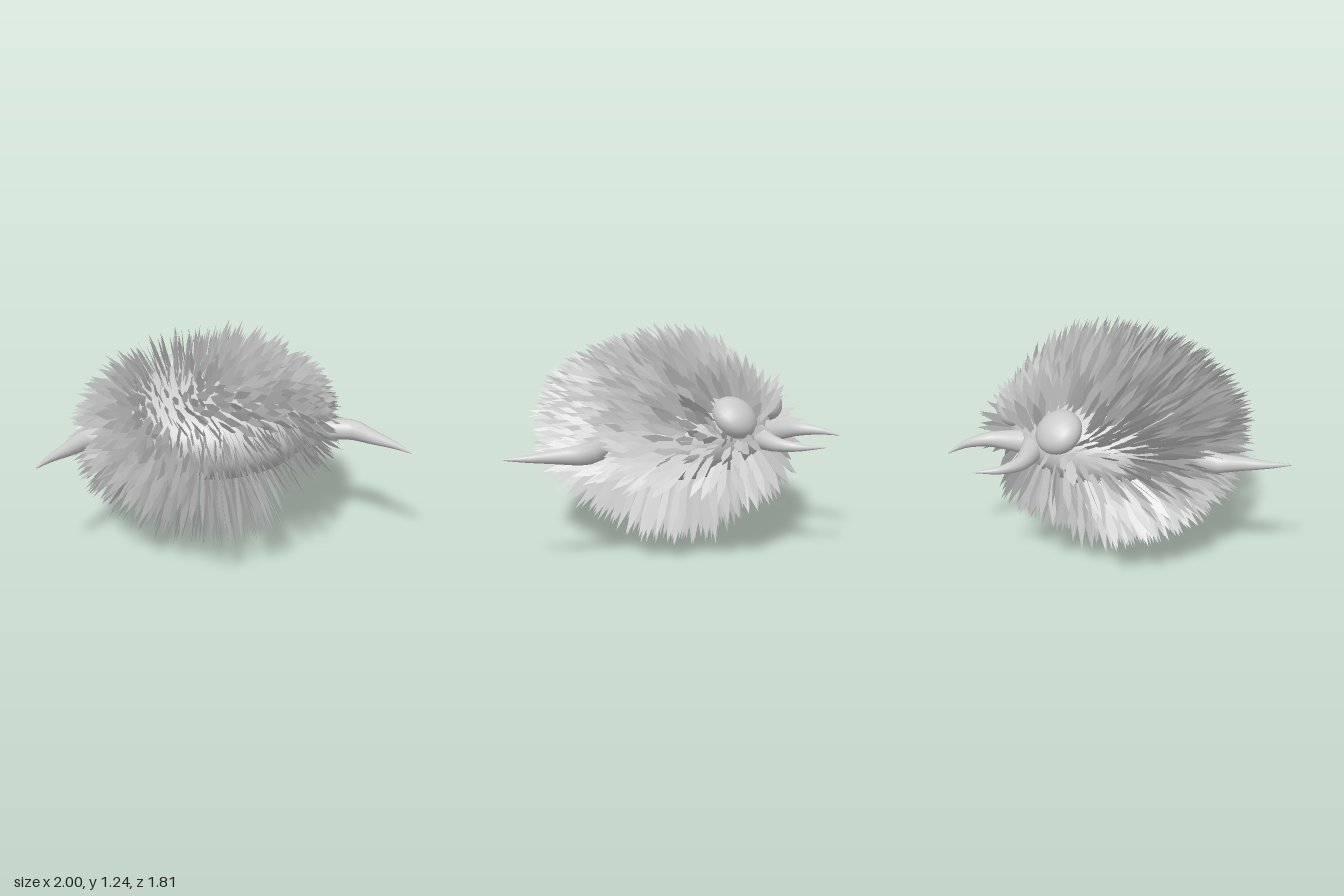
import * as THREE from 'three';

const CENTRE = new THREE.Vector3(-0.02, 0.69, 0.03);
const RADII = new THREE.Vector3(0.58, 0.29, 0.53);
const EYE = new THREE.Vector3(0.22, 0.82, -0.4);
const grey = () => new THREE.MeshStandardMaterial({ color: 0xcccccc, side: THREE.DoubleSide });

// Small seeded random generator
function seeded(seed) {
  return () => {
    seed = (seed * 16807) % 2147483647;
    return seed / 2147483647;
  };
}

// Tube that follows a path and narrows by a radius function
function taperedTube(points, radiusAt, name) {
  const curve = new THREE.CatmullRomCurve3(points.map(p => new THREE.Vector3(...p)));
  const rings = 12, sides = 14;
  const geo = new THREE.TubeGeometry(curve, rings, 1, sides);
  const pos = geo.attributes.position;
  const v = new THREE.Vector3();
  for (let i = 0; i <= rings; i++) {
    const c = curve.getPointAt(i / rings);
    for (let j = 0; j <= sides; j++) {
      const k = i * (sides + 1) + j;
      v.fromBufferAttribute(pos, k).sub(c).multiplyScalar(radiusAt(i / rings)).add(c);
      pos.setXYZ(k, v.x, v.y, v.z);
    }
  }
  geo.computeVertexNormals();
  const mesh = new THREE.Mesh(geo, grey());
  mesh.name = name;
  return mesh;
}

// Flat leaf-shaped blades growing out of the body, swept towards +z
function buildFur(count) {
  const rnd = seeded(77);
  const jitter = s => (rnd() - 0.5) * s;
  const verts = [];
  const n = new THREE.Vector3(), root = new THREE.Vector3(), dir = new THREE.Vector3();
  const sweep = new THREE.Vector3(), wide = new THREE.Vector3(), facing = new THREE.Vector3();
  for (let i = 0; i < count; i++) {
    const y = 1 - 2 * (i + 0.5) / count;
    const r = Math.sqrt(1 - y * y), a = i * 2.39996 + jitter(0.1);
    const u = new THREE.Vector3(r * Math.cos(a), y, r * Math.sin(a));
    root.copy(u).multiply(RADII).multiplyScalar(0.97).add(CENTRE);

    // bare patch low on one flank, clear eyes and mandibles, thin fur low at the back
    if (u.x > 0.35 && u.y < -0.42 && u.y > -0.85) continue;
    const mirrored = new THREE.Vector3(Math.abs(root.x + 0.01), root.y, root.z);
    if (mirrored.distanceTo(EYE) < 0.11) continue;
    if (u.z < -0.9 && Math.abs(u.x) < 0.3 && Math.abs(u.y) < 0.25) continue;
    if (u.z < -0.5 && u.y < 0 && rnd() < 0.4) continue;

    // growth direction: between the surface normal and the radial direction
    n.copy(u).divide(RADII).normalize().add(u).normalize();
    const amount = THREE.MathUtils.clamp(0.6 + 0.8 * u.y, 0.1, 0.9)
      + (u.x > 0.5 ? 0.4 : 0) + Math.max(0, -u.z) * (u.y > -0.5 ? 0.9 : 0.35);
    sweep.set(0, 0, 1).addScaledVector(n, -n.z).multiplyScalar(amount);
    dir.copy(n).add(sweep);
    dir.x += jitter(0.2) + (u.y > 0.5 ? 0.2 : 0);
    dir.y += jitter(0.2);
    dir.normalize();

    // shorter on the flanks and around the face
    let length = 0.35 + jitter(0.06);
    if (u.y < -0.3) length += 0.03;
    length *= 1 - (u.x > 0 ? 0.4 : 0.22) * u.x * u.x;
    if (u.z < -0.5) length *= u.y > -0.1 ? 0.65 : 0.75;

    // every blade turns its flat side towards one common direction, with some variation
    facing.set(1, 0.4 + jitter(0.5), 0.15 + jitter(0.5));
    wide.crossVectors(dir, facing).normalize();
    const w = 0.022 + rnd() * 0.008;
    const at = (t, s) => root.clone().addScaledVector(dir, t * length).addScaledVector(wide, s * w);
    const b0 = at(0, -0.6), b1 = at(0, 0.6), m0 = at(0.6, -1), m1 = at(0.6, 1), tip = at(1, 0.2);
    for (const p of [b0, b1, m1, b0, m1, m0, m0, m1, tip]) verts.push(p.x, p.y, p.z);
  }
  const geo = new THREE.BufferGeometry();
  geo.setAttribute('position', new THREE.Float32BufferAttribute(verts, 3));
  geo.computeVertexNormals();
  const mesh = new THREE.Mesh(geo, grey());
  mesh.name = 'fur';
  return mesh;
}

export function createModel() {
  const model = new THREE.Group();
  model.name = 'furryCreature';

  // Body core under the fur
  const body = new THREE.Mesh(new THREE.SphereGeometry(1, 32, 20), grey());
  body.name = 'body';
  body.scale.copy(RADII);
  body.position.copy(CENTRE);
  model.add(body, buildFur(1500));

  for (const [side, s] of [['left', 1], ['right', -1]]) {
    // Flattened eye, facing up and back
    const eye = new THREE.Mesh(new THREE.SphereGeometry(0.145, 20, 14), grey());
    eye.name = side + 'Eye';
    eye.position.set(s * EYE.x - 0.01, EYE.y, EYE.z);
    eye.scale.set(1, 0.9, 0.65);
    eye.rotation.x = 0.9;
    model.add(eye);

    // Curved mandible
    const x = d => s * d - 0.02;
    model.add(taperedTube(
      [[x(0.03), 0.68, -0.45], [x(0.12), 0.68, -0.54], [x(0.18), 0.68, -0.62], [x(0.195), 0.68, -0.75], [x(0.14), 0.68, -0.89]],
      t => 0.002 + 0.07 * (1 - t), side + 'Mandible'));

    // Bent, pointed arm
    model.add(taperedTube(
      [[s * 0.5, 0.68, 0.2], [s * 0.65, 0.68, 0.22], [s * 0.74, 0.68, 0.24], [s * 0.83, 0.68, 0.35], [s * 0.935, 0.68, 0.48], [s * 0.995, 0.68, 0.58]],
      t => 0.004 + 0.054 * Math.min(1, (1 - t) * 1.6), side + 'Arm'));
  }
  return model;
}
